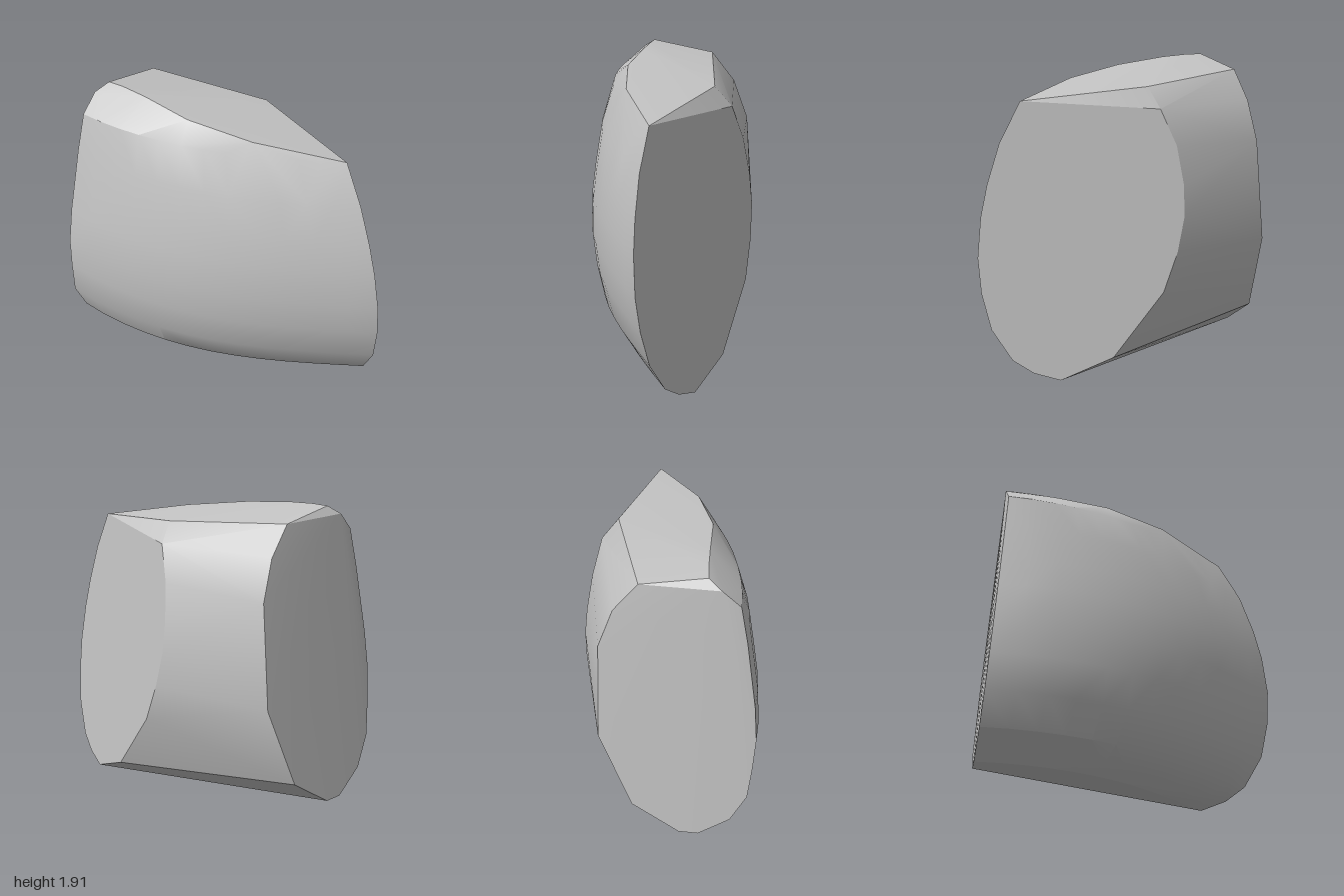
import * as THREE from 'three';
import { ConvexGeometry } from 'three/addons/geometries/ConvexGeometry.js';
import { toCreasedNormals } from 'three/addons/utils/BufferGeometryUtils.js';

// The two flat cut ends of the stone, as planes giving x from y and z
const leftEnd = (y, z) => 0.692 - 0.126 * y + 0.535 * z;
const rightEnd = (y, z) => -1.116 + 0.111 * y - 0.986 * z;
const P = (x, y, z) => new THREE.Vector3(x, y, z);

export function createModel() {
  const group = new THREE.Group();
  group.name = 'stone';
  const stone = new THREE.MeshStandardMaterial({ color: 0xc4c4c4 });
  stone.name = 'stone grey';
  const points = [];

  // Bulging front: rows of [y, z at right end, z at left end, bulge]
  const rows = [
    [0.005, -0.32, 0.27, 0.19], [0.06, -0.26, 0.42, 0.19], [0.15, -0.165, 0.54, 0.2],
    [0.35, -0.08, 0.66, 0.21], [0.58, -0.05, 0.72, 0.215], [0.8, -0.028, 0.745, 0.215],
    [1.05, -0.028, 0.735, 0.21], [1.25, -0.038, 0.705, 0.2], [1.5, -0.05, 0.645, 0.185],
    [1.75, -0.07, 0.54, 0.15],
  ];
  const steps = 12;
  for (const [y, zr, zl, bulge] of rows) {
    const a = P(rightEnd(y, zr), y, zr);
    const b = P(leftEnd(y, zl), y, zl);
    const out = P(a.z - b.z, 0, b.x - a.x).normalize();
    for (let i = 0; i <= steps; i++) {
      const t = i / steps;
      const d = bulge * Math.sin(Math.PI * Math.pow(t, 0.87));
      points.push(a.clone().lerp(b, t).addScaledVector(out, d));
    }
  }

  // Back edges of the end cuts, as [y, z]
  const rightBack = [[0.005, -0.41], [0.2, -0.62], [0.73, -0.745], [1.4, -0.7], [1.66, -0.62], [1.85, -0.5]];
  const leftBack = [[0.13, -0.02], [0.53, -0.29], [0.78, -0.36], [1.0, -0.39], [1.2, -0.38], [1.45, -0.33], [1.68, -0.23]];
  rightBack.forEach(([y, z]) => points.push(P(rightEnd(y, z), y, z)));
  leftBack.forEach(([y, z]) => points.push(P(leftEnd(y, z), y, z)));

  // Rim of the sloping top
  points.push(
    P(0.31, 1.81, -0.13), P(0.2, 1.83, 0.43), P(-0.19, 1.88, 0.24),
    P(-0.45, 1.913, 0.01), P(-0.6, 1.92, -0.12), P(-0.69, 1.915, -0.19), P(-0.78, 1.86, -0.16),
  );

  const body = new THREE.Mesh(toCreasedNormals(new ConvexGeometry(points), 0.42), stone);
  body.name = 'stoneBody';
  group.add(body);
  return group;
}
